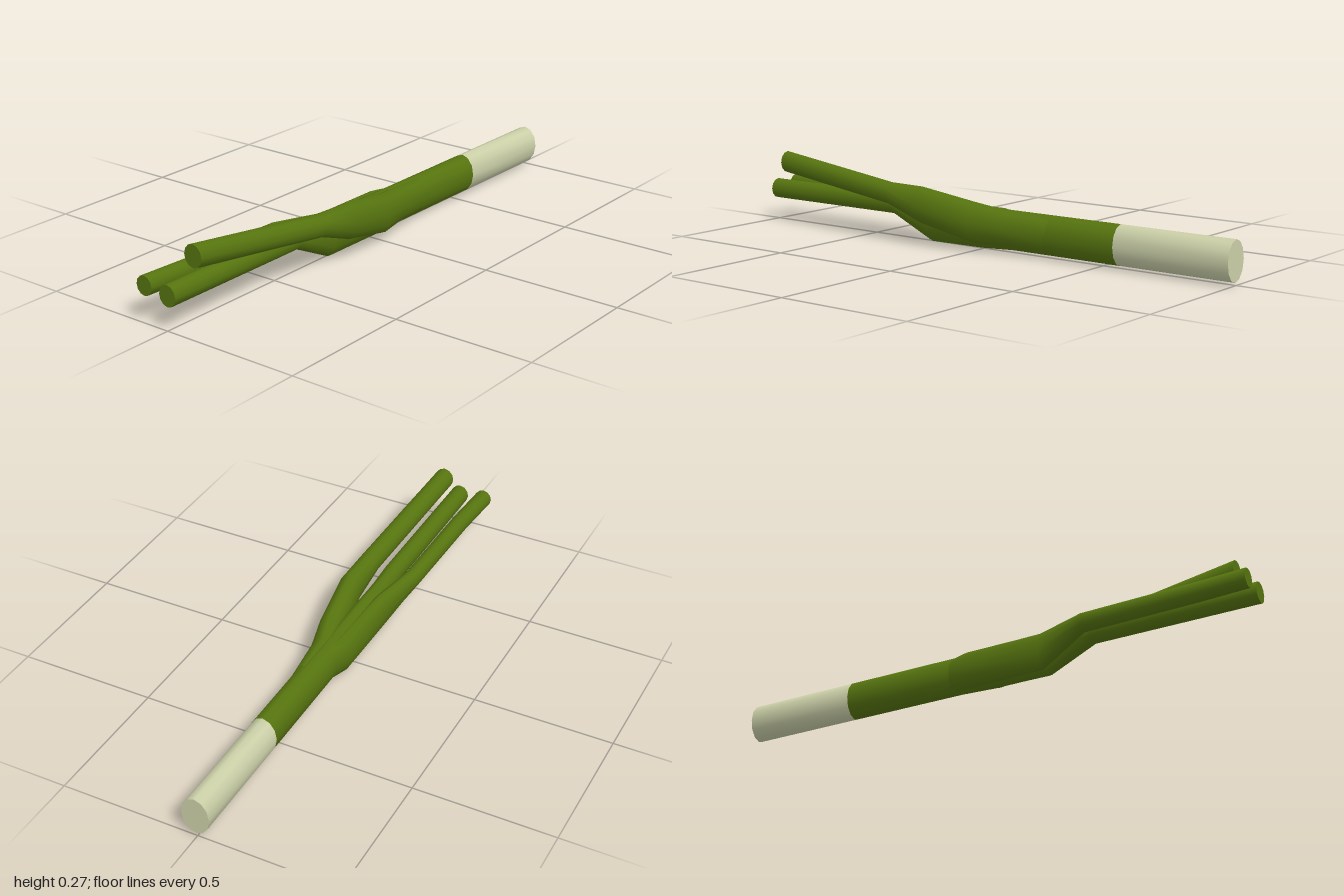
import * as THREE from 'three';

const SIDES = 12;

// Loft through elliptical sections [z, x, y, rx, ry] ordered from back to front, with flat end caps
function loft(sections) {
  const pos = [], idx = [];
  const ring = ([z, x, y, rx, ry]) => {
    for (let j = 0; j <= SIDES; j++) {
      const a = (j / SIDES) * Math.PI * 2;
      pos.push(x + rx * Math.cos(a), y + ry * Math.sin(a), z);
    }
  };
  const row = SIDES + 1;
  sections.forEach(ring);
  for (let i = 0; i < sections.length - 1; i++) {
    for (let j = 0; j < SIDES; j++) {
      const a = i * row + j, b = a + row;
      idx.push(a, a + 1, b + 1, a, b + 1, b);
    }
  }
  // Caps use their own vertices so the rims stay sharp
  [sections[0], sections[sections.length - 1]].forEach((s, end) => {
    const start = pos.length / 3;
    ring(s);
    for (let j = 1; j < SIDES - 1; j++) {
      if (end) idx.push(start, start + j, start + j + 1);
      else idx.push(start, start + j + 1, start + j);
    }
  });
  const g = new THREE.BufferGeometry();
  g.setAttribute('position', new THREE.Float32BufferAttribute(pos, 3));
  g.setIndex(idx);
  g.computeVertexNormals();
  // Match normals across the seam of each ring
  const n = g.attributes.normal;
  for (let i = 0; i < sections.length; i++) {
    const a = i * row, b = a + SIDES;
    const v = new THREE.Vector3(n.getX(a) + n.getX(b), n.getY(a) + n.getY(b), n.getZ(a) + n.getZ(b)).normalize();
    n.setXYZ(a, v.x, v.y, v.z);
    n.setXYZ(b, v.x, v.y, v.z);
  }
  return g;
}

export function createModel() {
  const green = new THREE.MeshStandardMaterial({ color: 0x56740f });
  green.name = 'leaf green';
  const white = new THREE.MeshStandardMaterial({ color: 0xcbd0a8 });
  white.name = 'pale stem';

  const parts = [
    // Pale root end
    ['whiteStem', white, [[-1, 0.005, 0.082, 0.05, 0.07], [-0.57, 0.005, 0.082, 0.05, 0.07]]],
    // Green stem running on into the middle leaf
    ['stemAndMiddleLeaf', green, [
      [-0.57, 0.005, 0.082, 0.05, 0.07],
      [-0.13, 0.005, 0.082, 0.05, 0.07],
      [0, 0.005, 0.08, 0.046, 0.075],
      [0.23, 0.005, 0.08, 0.036, 0.077],
      [0.4, 0.004, 0.121, 0.034, 0.037],
      [1, 0.004, 0.121, 0.034, 0.037],
    ]],
    // Low leaf on the right side
    ['rightLeaf', green, [
      [-0.16, -0.002, 0.082, 0.038, 0.062],
      [-0.07, -0.024, 0.08, 0.041, 0.069],
      [0.22, -0.032, 0.08, 0.03, 0.069],
      [0.4, -0.076, 0.126, 0.03, 0.034],
      [0.8, -0.083, 0.129, 0.031, 0.034],
      [1, -0.094, 0.13, 0.032, 0.034],
    ]],
    // Raised leaf on the left side
    ['leftLeaf', green, [
      [-0.3, 0.015, 0.084, 0.039, 0.062],
      [-0.12, 0.028, 0.09, 0.044, 0.063],
      [0, 0.056, 0.102, 0.045, 0.073],
      [0.21, 0.084, 0.145, 0.041, 0.066],
      [0.36, 0.078, 0.172, 0.038, 0.04],
      [0.915, 0.036, 0.233, 0.036, 0.04],
    ]],
  ];

  const group = new THREE.Group();
  group.name = 'springOnion';
  for (const [name, material, sections] of parts) {
    const mesh = new THREE.Mesh(loft(sections), material);
    mesh.name = name;
    group.add(mesh);
  }
  return group;
}
